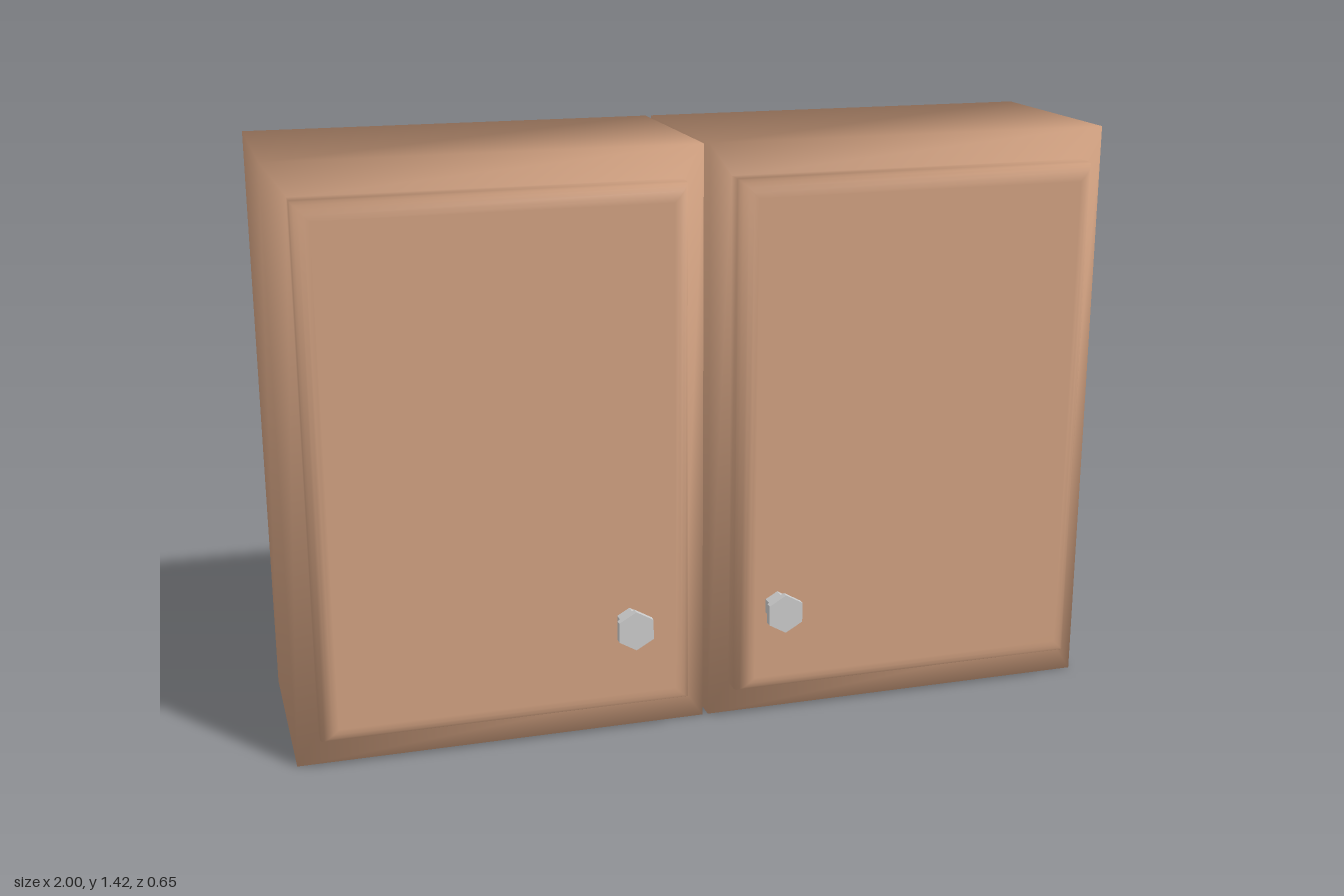
import * as THREE from 'three';

const wood = new THREE.MeshStandardMaterial({ color: 0xd0a080 });
const metal = new THREE.MeshStandardMaterial({ color: 0xcccccc, flatShading: true });

const HEIGHT = 1.42, BACK = -0.325, FACE = 0.176, DOOR = 0.26, ROUND = 0.04;

// Closed skin through rectangular loops, back to front, with shared smooth normals
function rectLoft(loops) {
  const positions = [], index = [];
  for (const [x0, x1, y0, y1, z] of loops)
    positions.push(x0, y0, z, x1, y0, z, x1, y1, z, x0, y1, z);
  for (let k = 0; k < loops.length - 1; k++) {
    for (let i = 0; i < 4; i++) {
      const j = (i + 1) % 4;
      const a = k * 4 + i, b = k * 4 + j, c = b + 4, d = a + 4;
      if (i % 2) index.push(a, b, d, b, c, d);
      else index.push(a, b, c, a, c, d);
    }
  }
  const f = (loops.length - 1) * 4;
  index.push(0, 2, 1, 0, 3, 2, f, f + 1, f + 2, f, f + 2, f + 3);
  const geometry = new THREE.BufferGeometry();
  geometry.setAttribute('position', new THREE.Float32BufferAttribute(positions, 3));
  geometry.setIndex(index);
  geometry.computeVertexNormals();
  return geometry;
}

// Cabinet box whose front rim runs into a raised door with rounded edges
function makeCabinet(x0, x1, name) {
  const rim = 0.053, bottom = 0.08, top = 1.343;
  const loops = [
    [x0, x1, 0, HEIGHT, BACK],
    [x0, x1, 0, HEIGHT, FACE],
    [x0 + rim, x1 - rim, bottom, top, FACE],
  ];
  const steps = 5;
  for (let s = 0; s <= steps; s++) {
    const t = (s / steps) * Math.PI / 2;
    const inset = ROUND * (1 - Math.cos(t));
    loops.push([x0 + rim + inset, x1 - rim - inset, bottom + inset, top - inset,
      DOOR - ROUND + ROUND * Math.sin(t)]);
  }
  const mesh = new THREE.Mesh(rectLoft(loops), wood);
  mesh.name = name;
  return mesh;
}

// Hexagonal knob: thin stem and flat head
function makeKnob(x, name) {
  const knob = new THREE.Group();
  knob.name = name;
  const addHex = (radius, z0, z1, part) => {
    const geometry = new THREE.CylinderGeometry(radius, radius, z1 - z0, 6);
    geometry.rotateX(Math.PI / 2).translate(0, 0, (z0 + z1) / 2);
    const mesh = new THREE.Mesh(geometry, metal);
    mesh.name = part;
    knob.add(mesh);
  };
  addHex(0.034, DOOR - 0.01, 0.309, 'knobStem');
  addHex(0.048, 0.308, 0.325, 'knobHead');
  knob.position.set(x, 0.308, 0);
  return knob;
}

export function createModel() {
  const model = new THREE.Group();
  model.name = 'wallCabinets';
  model.add(
    makeCabinet(-1, -0.007, 'rightCabinet'),
    makeCabinet(0.007, 1, 'leftCabinet'),
    makeKnob(-0.214, 'rightKnob'),
    makeKnob(0.156, 'leftKnob'),
  );
  return model;
}
